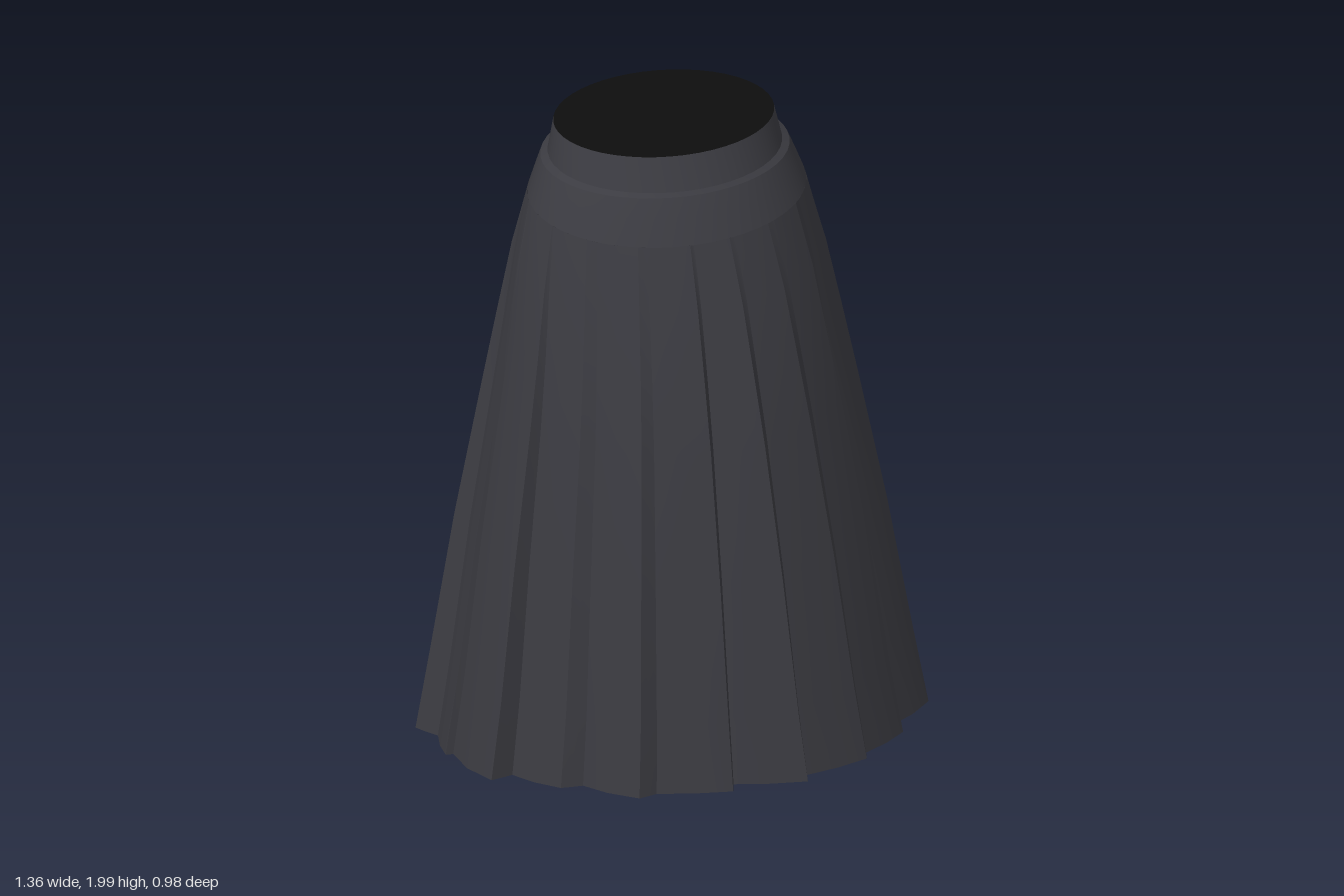
import * as THREE from 'three';
import { mergeGeometries } from 'three/addons/utils/BufferGeometryUtils.js';

// Hem corners [x, z] of each knife pleat: outer edge, then inner edge, from the back round by the left side
const HEM = [
  [0.01, -0.49], [0.14, -0.45], [0.16, -0.475], [0.29, -0.42], [0.32, -0.455], [0.39, -0.37],
  [0.43, -0.39], [0.49, -0.295], [0.545, -0.31], [0.58, -0.18], [0.645, -0.19], [0.655, -0.02],
  [0.68, 0.035], [0.56, 0.16], [0.58, 0.21], [0.46, 0.32], [0.455, 0.36], [0.28, 0.43],
  [0.275, 0.475], [0.08, 0.44], [0.07, 0.49], [-0.13, 0.45], [-0.18, 0.47], [-0.31, 0.34],
  [-0.37, 0.34], [-0.48, 0.22], [-0.54, 0.24], [-0.61, 0.05], [-0.63, 0.05], [-0.63, -0.07],
  [-0.68, -0.13], [-0.56, -0.24], [-0.62, -0.28], [-0.45, -0.35], [-0.465, -0.39], [-0.31, -0.4],
  [-0.32, -0.43], [-0.155, -0.425], [-0.14, -0.47], [0, -0.445],
];

// Cross-sections: y at front, y at back, half width, z at front, z at back, pleat strength
const LEVELS = [
  [2.0, 1.955, 0.297, 0.05, -0.397, 0],
  [1.91, 1.87, 0.315, 0.09, -0.402, 0],
  [1.9, 1.86, 0.335, 0.1, -0.41, 0],
  [1.85, 1.82, 0.353, 0.128, -0.413, 0],
  [1.78, 1.77, 0.375, 0.16, -0.416, 0],
  [1.6, 1.58, 0.42, 0.22, -0.425, 0.3],
  [1.4, 1.36, 0.458, 0.275, -0.44, 0.5],
  [1.2, 1.12, 0.497, 0.325, -0.455, 0.65],
  [0.8, 0.7, 0.568, 0.4, -0.475, 0.82],
  [0.4, 0.27, 0.63, 0.46, -0.485, 0.95],
  [0, 0, 0.67, 0.49, -0.49, 1],
];

// Hem corners as [angle, radius] relative to the hem ellipse, with the angle unwrapped
const CORNERS = [];
for (const [x, z] of HEM) {
  let a = Math.atan2(x / 0.67, z / 0.49);
  const last = CORNERS.length ? CORNERS[CORNERS.length - 1][0] : a;
  if (a - last > Math.PI) a -= 2 * Math.PI;
  CORNERS.push([a, Math.hypot(x / 0.67, z / 0.49)]);
}
CORNERS.push([CORNERS[0][0] - 2 * Math.PI, CORNERS[0][1]]);

// Point on a cross-section
function pointAt(level, [angle, radius]) {
  const [yF, yB, rx, zF, zB, s] = LEVELS[level];
  const a = angle - 0.07 * (1 - s);
  const r = 1 + (radius - 1) * s;
  const x = rx * r * Math.sin(a);
  const z = (zF + zB) / 2 + ((zF - zB) / 2) * r * Math.cos(a);
  const y = level === LEVELS.length - 1
    ? 0.082 + 0.199 * z + 0.09 * z * z // hem dips towards the back
    : (yF + yB) / 2 + ((yF - yB) / 2) * Math.cos(a);
  return [x, y, z];
}

// Surface through several levels (rows) and corners (columns)
function strip(from, to, columns, closed = false) {
  const position = [], index = [];
  const n = columns.length, wrap = closed ? n : n - 1;
  for (let i = from; i <= to; i++) for (const c of columns) position.push(...pointAt(i, c));
  for (let i = 0; i < to - from; i++) {
    for (let j = 0; j < wrap; j++) {
      const a = i * n + j, b = i * n + ((j + 1) % n);
      index.push(a, b, a + n, b, b + n, a + n);
    }
  }
  const g = new THREE.BufferGeometry();
  g.setAttribute('position', new THREE.Float32BufferAttribute(position, 3));
  g.setIndex(index);
  g.computeVertexNormals();
  return g;
}

export function createModel() {
  const group = new THREE.Group();
  const cloth = new THREE.MeshStandardMaterial({ color: 0x3b3b41, side: THREE.DoubleSide });
  cloth.name = 'charcoal cloth';
  const dark = new THREE.MeshStandardMaterial({ color: 0x0e0e0e, side: THREE.DoubleSide });
  dark.name = 'black lining';
  const add = (name, geometry, material) => {
    const mesh = new THREE.Mesh(geometry, material);
    mesh.name = name;
    group.add(mesh);
  };

  // Waistband, its lower ledge and the smooth yoke
  const round = Array.from({ length: 48 }, (_, i) => [Math.PI - (i / 48) * 2 * Math.PI, 1]);
  add('waistband', strip(0, 1, round, true), cloth);
  add('waistbandSeam', strip(1, 2, round, true), cloth);
  add('yoke', strip(2, 4, round, true), cloth);

  // Pleats and the narrow folds between them
  const pleats = [], folds = [];
  for (let k = 0; k < CORNERS.length - 1; k++) {
    const [a0, r0] = CORNERS[k], [a1, r1] = CORNERS[k + 1];
    const columns = [0, 0.5, 1].map((t) => [a0 + (a1 - a0) * t, r0 + (r1 - r0) * t]);
    (k % 2 ? folds : pleats).push(strip(4, LEVELS.length - 1, columns));
  }
  add('pleats', mergeGeometries(pleats), cloth);
  add('pleatFolds', mergeGeometries(folds), cloth);

  // Dark lining that closes the waist opening
  const rim = round.map((c) => pointAt(0, c));
  const lid = new THREE.BufferGeometry();
  lid.setAttribute('position', new THREE.Float32BufferAttribute([0, 1.9765, -0.1735, ...rim.flat()], 3));
  lid.setIndex(rim.flatMap((_, i) => [0, ((i + 1) % 48) + 1, i + 1]));
  lid.computeVertexNormals();
  add('waistLining', lid, dark);

  return group;
}
